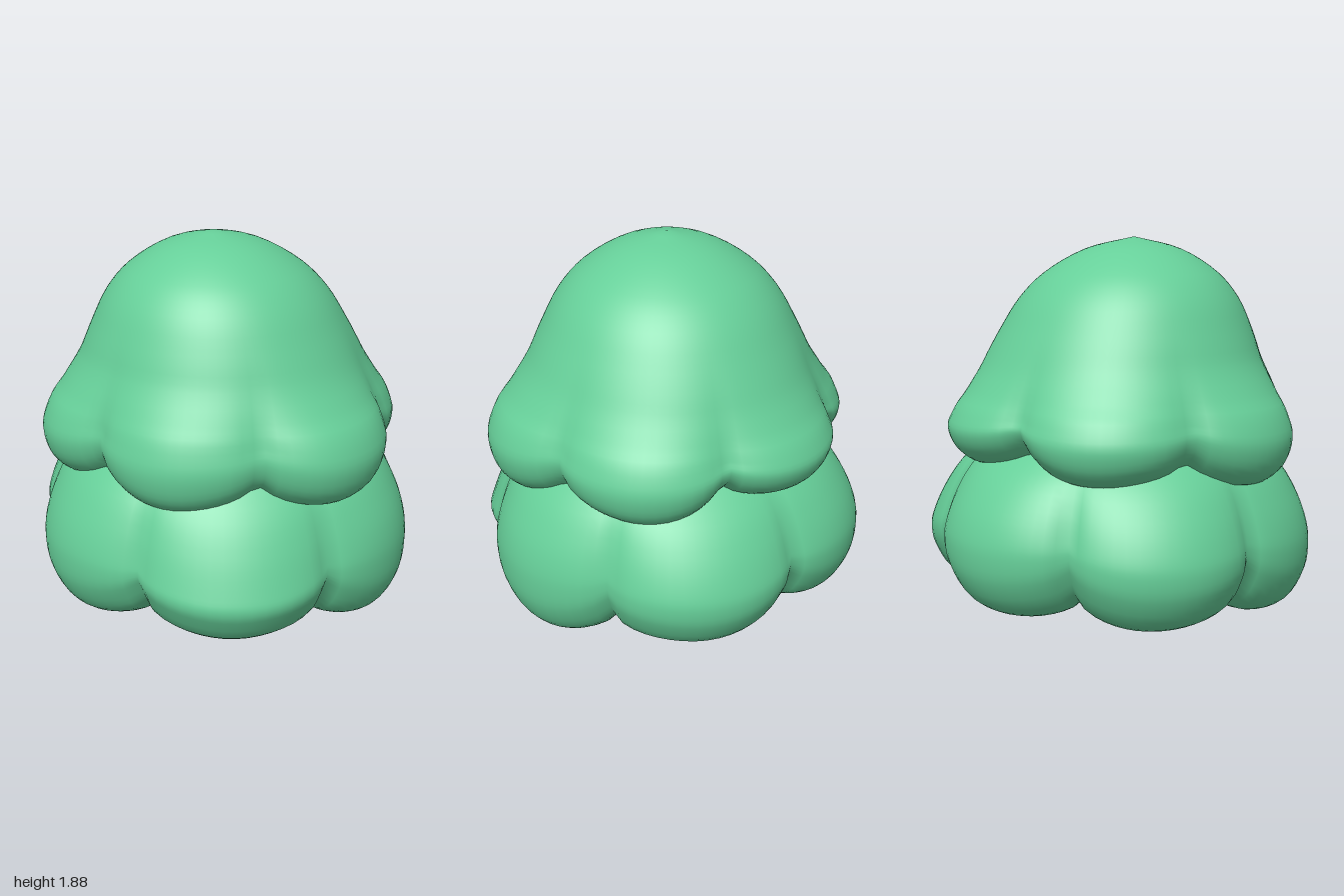
import * as THREE from 'three';
import { mergeVertices } from 'three/addons/utils/BufferGeometryUtils.js';

const SEGMENTS = 96;
const { lerp, clamp, smoothstep, degToRad } = THREE.MathUtils;

// One tier of foliage: a lathe whose rim is pushed into six rounded lobes.
// profile points: [radius, height, how strongly the lobes act there], from bottom to top
// radii, drops, sags, turns: one value per lobe (width, lift of its underside, lift of its
// flank, turn in degrees), counted from the angle `start` (0 = front, towards +x)
function tier({ profile, start, radii, drops, sags, turns, pinch, rise, middle, apex }) {
  const curve = new THREE.CatmullRomCurve3(profile.map(p => new THREE.Vector3(...p)), false, 'centripetal');
  const samples = curve.getPoints(4 * (profile.length - 1));
  const geo = new THREE.LatheGeometry(samples.map(p => new THREE.Vector2(Math.max(p.x, 0), p.y)), SEGMENTS);
  const pos = geo.attributes.position;
  const n = samples.length;
  for (let i = 0; i < pos.count; i++) {
    const s = samples[i % n];
    const angle = (Math.floor(i / n) % SEGMENTS) / SEGMENTS * Math.PI * 2;
    const u = (angle - degToRad(start)) / (Math.PI / 3) + 6;
    const lobe = Math.floor(u);
    const blend = smoothstep(u - lobe, 0.1, 0.9);
    const mix = list => lerp(list[lobe % 6], list[(lobe + 1) % 6], blend);
    const notch = 1 - Math.abs(Math.cos(u * Math.PI)) ** 0.65;
    const k = clamp(s.z, 0, 1);
    const r = Math.max(s.x, 0) * (1 + k * (mix(radii) - 1 - pinch * notch));
    const under = smoothstep(middle - s.y, 0, 0.42);
    const lift = lerp(mix(sags), rise * notch + mix(drops), under);
    const a = angle + degToRad(mix(turns));
    const tip = Math.max(0, s.y - 1.3) / 0.58;
    pos.setXYZ(i, Math.sin(a) * r + apex[0] * tip, s.y + k * lift, Math.cos(a) * r + apex[1] * tip);
  }
  // weld the seam and the poles so the shading stays smooth
  geo.deleteAttribute('normal');
  geo.deleteAttribute('uv');
  const welded = mergeVertices(geo, 1e-4);
  welded.computeVertexNormals();
  return welded;
}

export function createModel() {
  const leaf = new THREE.MeshStandardMaterial({ color: 0x66cf99 });
  leaf.name = 'leafGreen';
  const group = new THREE.Group();
  group.name = 'treeCrown';

  // wide lower tier with a hollow underside
  const lower = new THREE.Mesh(tier({
    profile: [
      [0, 0.42, 0], [0.2, 0.38, 0.05], [0.4, 0.22, 0.35], [0.58, 0.065, 0.85], [0.75, 0.02, 1],
      [0.89, 0.08, 1], [0.97, 0.22, 1], [0.985, 0.36, 1], [0.965, 0.48, 0.9], [0.905, 0.62, 0.7],
      [0.79, 0.78, 0.4], [0.58, 0.95, 0.1], [0.3, 1.08, 0], [0, 1.12, 0],
    ],
    start: 0,
    radii: [1.01, 0.98, 1.025, 1.015, 1.02, 0.98],
    drops: [0.05, -0.02, 0.08, 0.08, 0.06, 0.02],
    sags: [-0.12, 0, 0, 0.06, 0, 0],
    turns: [1, 2, 4, 3, -1, -2],
    pinch: 0.11, rise: 0.11, middle: 0.56, apex: [0, 0],
  }), leaf);
  lower.name = 'lowerFoliage';

  // domed upper tier, its lobes turned against the lower ones
  const upper = new THREE.Mesh(tier({
    profile: [
      [0, 0.93, 0], [0.4, 0.87, 0.3], [0.62, 0.75, 0.9], [0.78, 0.695, 1], [0.875, 0.77, 1],
      [0.91, 0.9, 1], [0.88, 1.02, 0.9], [0.8, 1.14, 0.5], [0.715, 1.27, 0.2], [0.64, 1.42, 0.05],
      [0.55, 1.58, 0], [0.44, 1.7, 0], [0.24, 1.82, 0], [0, 1.88, 0],
    ],
    start: 40,
    radii: [1.03, 0.99, 1.0, 0.99, 1.0, 0.95],
    drops: [0, 0.03, 0.1, 0.06, 0.02, 0],
    sags: [0, 0, 0, 0, 0, 0],
    turns: [1.5, 3, 0, -1.5, 0, 0],
    pinch: 0.13, rise: 0.12, middle: 1.12, apex: [-0.04, 0.03],
  }), leaf);
  upper.name = 'upperFoliage';
  upper.position.x = -0.015;

  group.add(lower, upper);
  return group;
}
